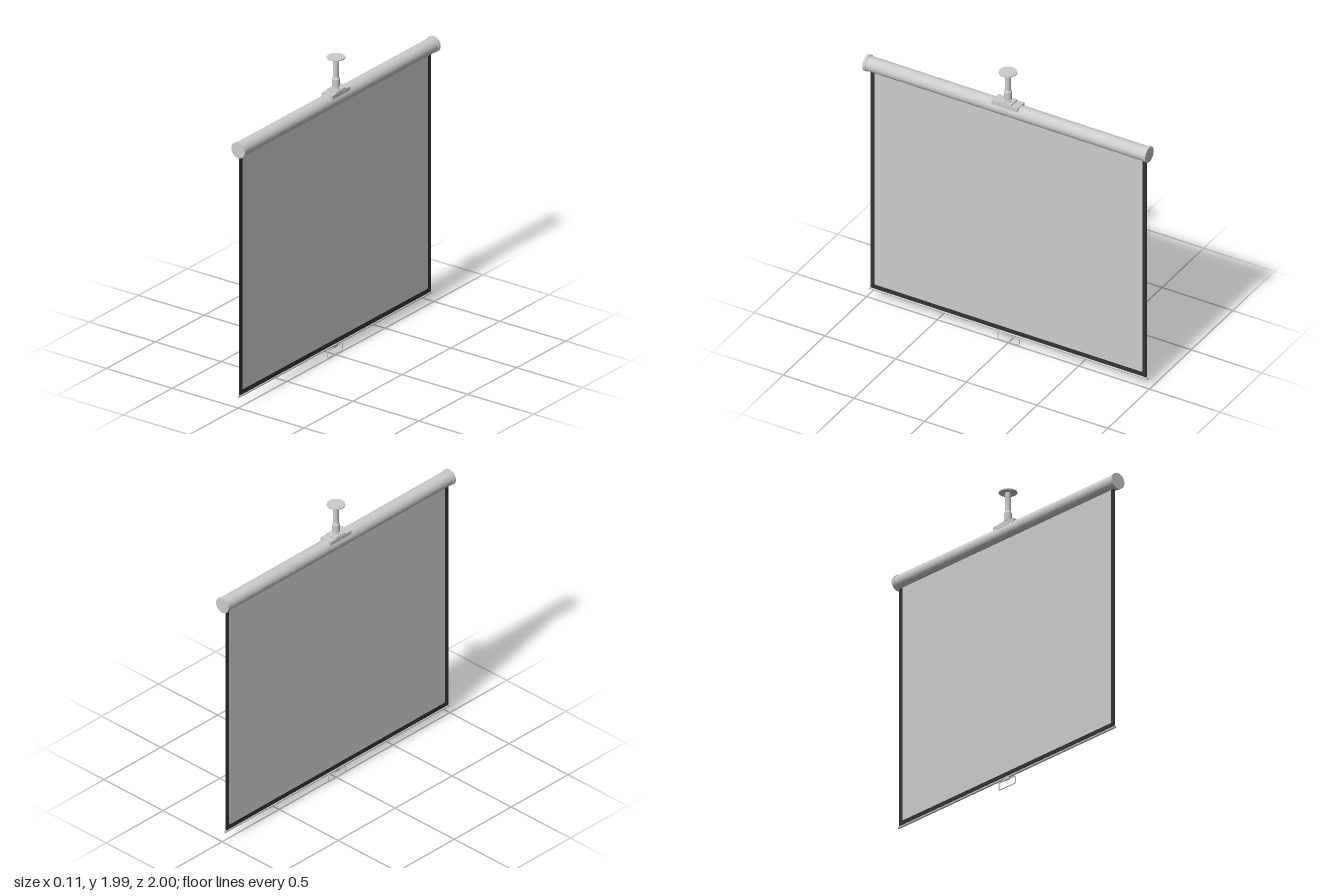
import * as THREE from 'three';

export function createModel() {
  const model = new THREE.Group();
  const grey = new THREE.MeshStandardMaterial({ name: 'light grey', color: 0xcccccc });
  const black = new THREE.MeshStandardMaterial({ name: 'border black', color: 0x333333 });

  const add = (name, geometry, x, y, z, material = grey) => {
    const mesh = new THREE.Mesh(geometry, material);
    mesh.name = name;
    mesh.position.set(x, y, z);
    model.add(mesh);
    return mesh;
  };
  const box = (name, w, h, d, x, y, z, material) =>
    add(name, new THREE.BoxGeometry(w, h, d), x, y, z, material);
  // Upright cylinder between two heights
  const post = (name, rTop, rBottom, y0, y1) =>
    add(name, new THREE.CylinderGeometry(rTop, rBottom, y1 - y0, 32), 0, (y0 + y1) / 2, 0);
  // Cylinder lying along z
  const roll = (name, r, length, z) => {
    const g = new THREE.CylinderGeometry(r, r, length, 48).rotateX(Math.PI / 2);
    return add(name, g, 0, 1.716, z);
  };

  // Housing tube with end caps
  roll('housing', 0.048, 1.97, 0);
  for (const s of [-1, 1]) roll('endCap', 0.052, 0.02, s * 0.99);

  // Ceiling mount
  box('saddle', 0.084, 0.026, 0.184, 0, 1.755, 0);
  box('saddlePlate', 0.076, 0.01, 0.09, 0, 1.771, 0);
  post('nut', 0.024, 0.024, 1.774, 1.781);
  post('neck', 0.015, 0.015, 1.778, 1.795);
  post('collar', 0.024, 0.024, 1.79, 1.842);
  post('collarTaper', 0.018, 0.024, 1.842, 1.855);
  post('pole', 0.018, 0.018, 1.85, 1.98);
  post('ceilingFlange', 0.057, 0.057, 1.979, 1.986);

  // Hanging sheet
  const sheetX = -0.008;
  box('sheet', 0.003, 1.6, 1.93, sheetX, 0.89, 0);

  // Dark border, open at the top, with rounded inner corners
  const outer = 0.977, inner = 0.949, low = 0.073, sill = 0.103, top = 1.69, r = 0.012;
  const frame = new THREE.Shape();
  frame.moveTo(-outer, top);
  frame.lineTo(-outer, low);
  frame.lineTo(outer, low);
  frame.lineTo(outer, top);
  frame.lineTo(inner, top);
  frame.lineTo(inner, sill + r);
  frame.quadraticCurveTo(inner, sill, inner - r, sill);
  frame.lineTo(-inner + r, sill);
  frame.quadraticCurveTo(-inner, sill, -inner, sill + r);
  frame.lineTo(-inner, top);
  const frameGeometry = new THREE.ExtrudeGeometry(frame, { depth: 0.005, bevelEnabled: false, curveSegments: 6 });
  frameGeometry.translate(0, 0, -0.0025).rotateY(Math.PI / 2);
  add('border', frameGeometry, sheetX, 0, 0, black);

  // Bottom bar and handle clip
  const bar = new THREE.CylinderGeometry(0.0075, 0.0075, 1.97, 16).rotateX(Math.PI / 2);
  add('bottomBar', bar, sheetX, 0.066, 0);
  box('handleClip', 0.012, 0.014, 0.05, sheetX, 0.056, 0);

  // Wire pull handle
  const w = 0.075, y0 = 0.003, y1 = 0.051, c = 0.008;
  const path = new THREE.CurvePath();
  const corners = [[-w, y0], [w, y0], [w, y1], [-w, y1]].map(([z, y]) => new THREE.Vector3(0, y, z));
  const toward = (a, b) => a.clone().add(b.clone().sub(a).setLength(c));
  corners.forEach((p, i) => {
    const next = corners[(i + 1) % 4], after = corners[(i + 2) % 4];
    path.add(new THREE.LineCurve3(toward(p, next), toward(next, p)));
    path.add(new THREE.QuadraticBezierCurve3(toward(next, p), next, toward(next, after)));
  });
  add('handle', new THREE.TubeGeometry(path, 120, 0.003, 8, true), sheetX, 0, 0);

  return model;
}
